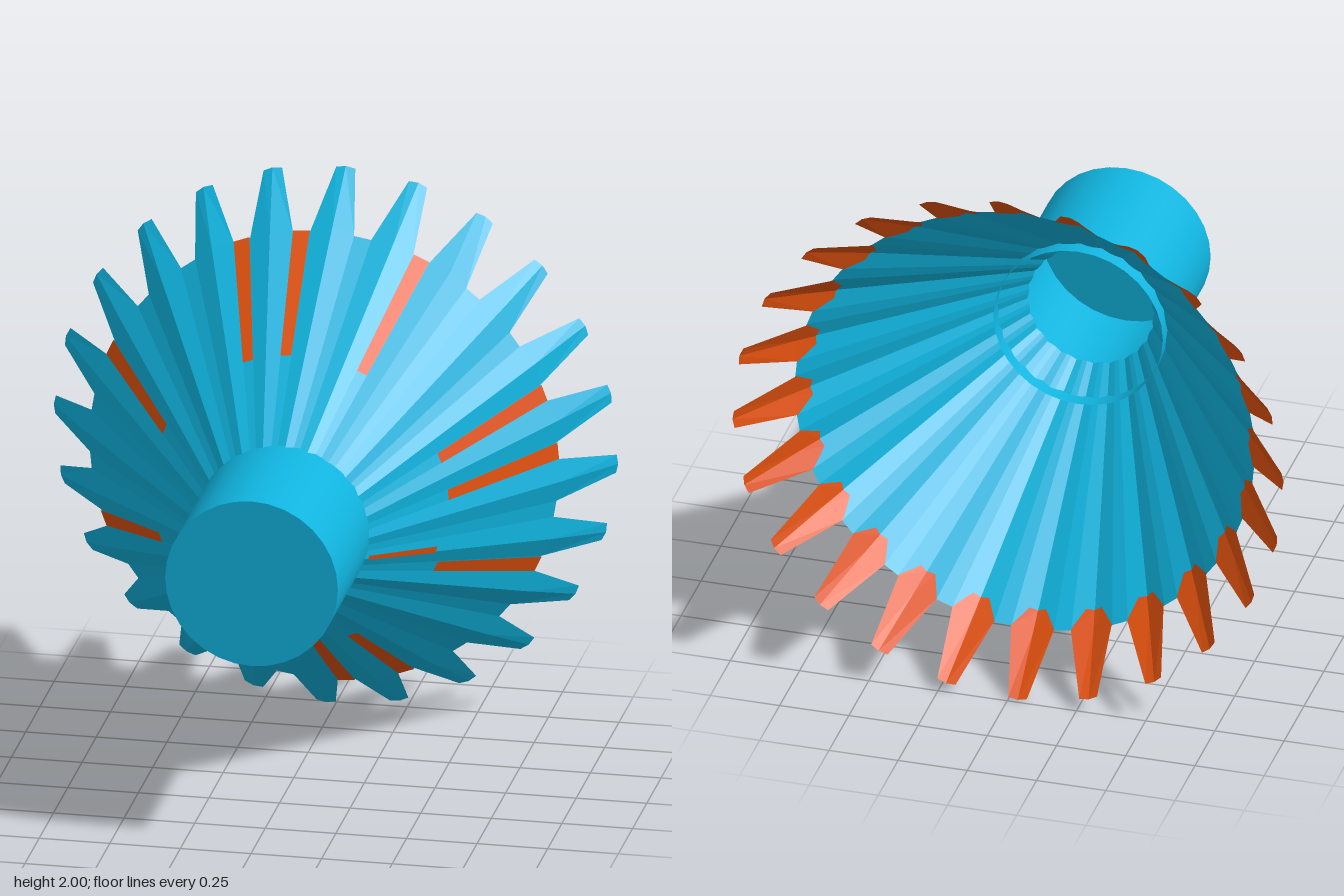
import * as THREE from 'three';

const COUNT = 24, PITCH = Math.PI * 2 / COUNT;
const START = THREE.MathUtils.degToRad(88);
const HALF = 0.094;                       // half angle of one feather
const Z_IN = 0.3, Z_NOTCH = -0.53, Z_TIP = -0.74;

const coneR = z => 0.31 + 0.742 * (0.19 - z);
const ridgeR = z => coneR(z) * 1.008;
const edgeR = z => coneR(z) * 0.983;
const polar = (a, r, z) => [r * Math.cos(a), r * Math.sin(a), z];

// Collects flat polygons as triangle fans
class Faces {
  constructor() { this.pos = []; }
  add(...p) {
    for (let i = 1; i < p.length - 1; i++) this.pos.push(...p[0], ...p[i], ...p[i + 1]);
  }
  mesh(name, material) {
    const g = new THREE.BufferGeometry();
    g.setAttribute('position', new THREE.Float32BufferAttribute(this.pos, 3));
    g.computeVertexNormals();
    const m = new THREE.Mesh(g, material);
    m.name = name;
    return m;
  }
}

export function createModel() {
  const blue = new THREE.MeshStandardMaterial({ color: 0x10b4df });
  blue.name = 'sky blue';
  const blueThin = blue.clone();
  blueThin.side = THREE.DoubleSide;
  const orange = new THREE.MeshStandardMaterial({ color: 0xe2520f });
  orange.name = 'orange';

  const group = new THREE.Group();
  group.name = 'featheredCone';
  const body = new THREE.Group();
  body.name = 'body';
  body.position.y = 1;
  group.add(body);

  // Cylindrical head, closed in front and open behind
  const wall = new THREE.Mesh(new THREE.CylinderGeometry(0.306, 0.306, 0.6, 32, 1, true), blueThin);
  wall.name = 'headWall';
  wall.rotation.x = Math.PI / 2;
  wall.position.z = 0.44;
  const cap = new THREE.Mesh(new THREE.CircleGeometry(0.306, 32), blueThin);
  cap.name = 'headCap';
  cap.position.z = 0.74;
  body.add(wall, cap);

  // Pleated skirt, feather tips and their orange lining
  const skirt = new Faces(), tips = new Faces(), lining = new Faces(), stripes = new Faces();
  for (let i = 0; i < COUNT; i++) {
    const a = START + i * PITCH;
    const section = z => [
      polar(a - HALF, edgeR(z), z), polar(a, ridgeR(z), z),
      polar(a + HALF, edgeR(z), z), polar(a + PITCH - HALF, edgeR(z), z)
    ];
    const front = section(Z_IN), back = section(Z_NOTCH);
    for (let j = 0; j < 3; j++) skirt.add(front[j], back[j], back[j + 1], front[j + 1]);

    const tip = [polar(a - 0.034, 0.994, Z_TIP), polar(a, 1, Z_TIP), polar(a + 0.034, 0.994, Z_TIP)];
    for (let j = 0; j < 2; j++) tips.add(back[j], tip[j], tip[j + 1], back[j + 1]);

    // Lining reaches a little way down the inside of each feather
    const d = 0.004, zA = -0.46;
    const inTip = [-0.034, 0, 0.034].map(o => polar(a + o, (o ? 0.994 : 1) - d, Z_TIP));
    const inSide = [-1, 1].map(s => polar(a + s * HALF, edgeR(Z_NOTCH) - d, Z_NOTCH));
    const inRidge = polar(a, ridgeR(Z_NOTCH) - d, Z_NOTCH);
    const apex = polar(a, ridgeR(zA) - d, zA);
    const apexSide = [-1, 1].map(s => {
      const mix = THREE.MathUtils.lerp(ridgeR(zA), edgeR(zA), 0.4);
      return polar(a + s * HALF * 0.4, mix - d, zA);
    });
    lining.add(inSide[0], inRidge, inTip[1], inTip[0]);
    lining.add(inRidge, inSide[1], inTip[2], inTip[1]);
    lining.add(apexSide[0], apex, inRidge, inSide[0]);
    lining.add(apex, apexSide[1], inSide[1], inRidge);
  }

  // Orange stripes lying along some of the valleys
  const addStripe = (degrees, half, z0, z1, radius) => {
    const a = THREE.MathUtils.degToRad(degrees);
    const at = (s, z) => polar(a + s * half, radius(z) + 0.004, z);
    stripes.add(at(-1, z0), at(-1, z1), at(1, z1), at(1, z0));
  };
  for (const deg of [5.5, 20.5, 65.5, 95.5, 110.5, 155.5, 200.5, 245.5, 275.5, 290.5, 335.5])
    addStripe(deg, 0.036, -0.11, Z_NOTCH, edgeR);
  addStripe(-16, 0.025, 0.19, -0.07, ridgeR);

  body.add(
    skirt.mesh('pleatedSkirt', blueThin),
    tips.mesh('featherTips', blue),
    lining.mesh('featherLining', orange),
    stripes.mesh('valleyStripes', orange)
  );
  return group;
}
